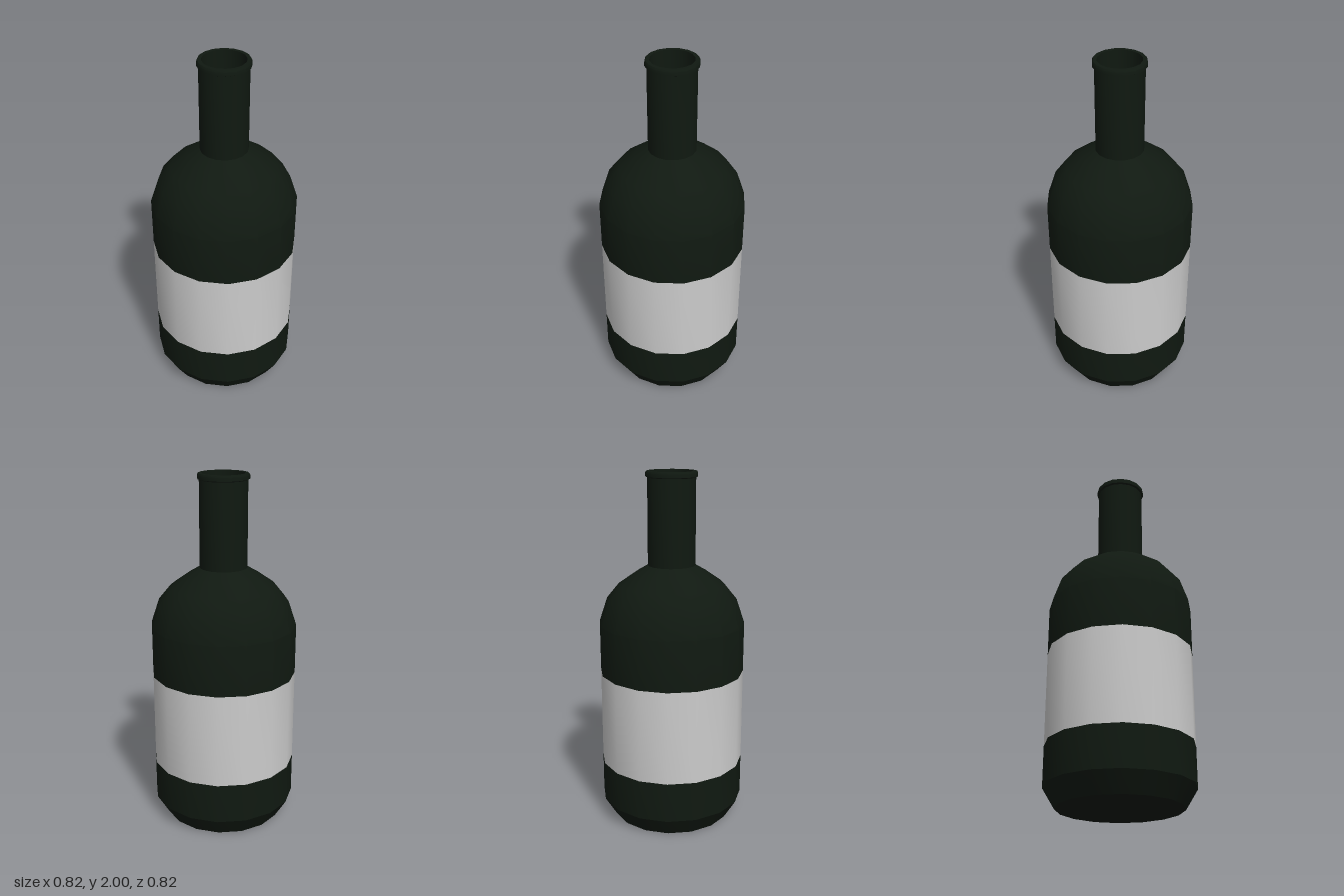
import * as THREE from 'three';
import { toCreasedNormals } from 'three/addons/utils/BufferGeometryUtils.js';

const SIDES = 16;

// Revolves [radius, height] pairs, smooth around and sharp at strong bends
function turned(name, profile, material) {
  const points = profile.map(([r, y]) => new THREE.Vector2(r, y));
  const geometry = toCreasedNormals(new THREE.LatheGeometry(points, SIDES), 0.5);
  const mesh = new THREE.Mesh(geometry, material);
  mesh.name = name;
  return mesh;
}

export function createModel() {
  const glass = new THREE.MeshStandardMaterial({ color: 0x101911 });
  const paper = new THREE.MeshStandardMaterial({ color: 0xcccccc });
  const dark = new THREE.MeshStandardMaterial({ color: 0x0e0d0e });

  const bottle = new THREE.Group();
  bottle.name = 'bottle';

  bottle.add(
    // Flat base, chamfer and straight wall below the label
    turned('lowerBody', [[0, 0], [0.345, 0], [0.412, 0.11], [0.412, 0.34]], glass),
    // Label band flush with the wall
    turned('label', [[0.412, 0.34], [0.412, 0.875]], paper),
    // Wall above the label and rounded shoulder
    turned('shoulder', [
      [0.412, 0.875], [0.412, 1.16], [0.366, 1.297], [0.298, 1.38],
      [0.205, 1.445], [0.133, 1.487],
    ], glass),
    // Neck, lip and the bore down the inside
    turned('neck', [
      [0.133, 1.487], [0.133, 1.965], [0.143, 1.97], [0.143, 1.99], [0.138, 2],
      [0.118, 2], [0.118, 1.487],
    ], glass),
    // Dark interior seen through the mouth
    turned('interior', [[0.118, 1.487], [0, 1.487]], dark),
  );
  return bottle;
}
